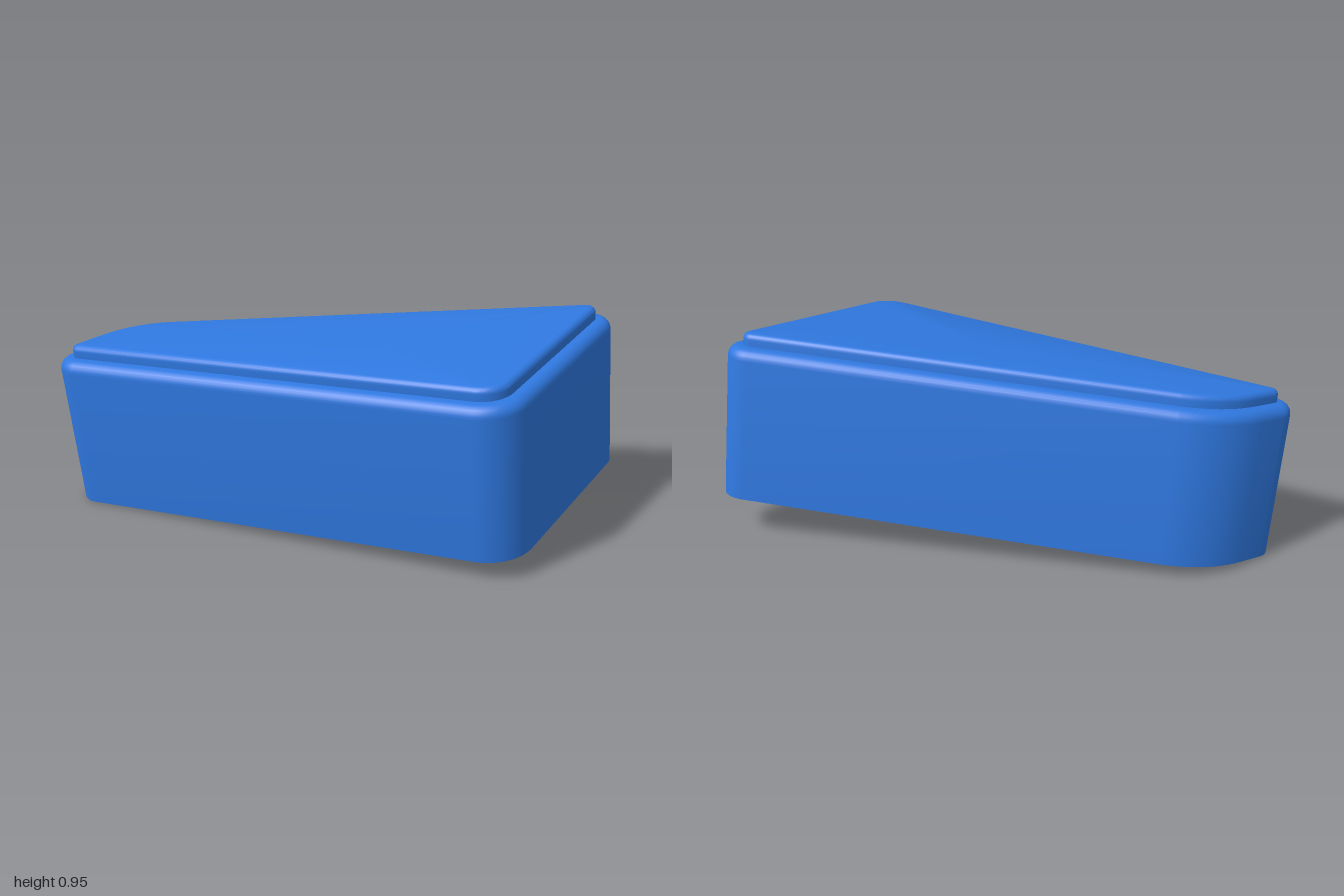
import * as THREE from 'three';
import { toCreasedNormals } from 'three/addons/utils/BufferGeometryUtils.js';

// Corner circles of the rounded plan outline: x, z, radius
const corners = [
  [0.767, -0.082, 0.2],   // right
  [-0.872, 0.839, 0.1],   // front left
  [-0.472, 0.71, 0.5],    // broad back left curve
  [0.61, -0.895, 0.11],   // back tip
];
const TILT = 0.1037;      // the whole block leans towards the front
const ARC_STEPS = 12;

// Direction of the outer tangent line's normal between two corner circles
function tangentAngle([x1, z1, r1], [x2, z2, r2]) {
  const dx = x2 - x1, dz = z2 - z1;
  return Math.atan2(dz, dx) - Math.acos((r1 - r2) / Math.hypot(dx, dz));
}

// Outline of the plan, moved inwards by inset
function outline(inset) {
  const points = [];
  const n = corners.length;
  corners.forEach((c, i) => {
    const start = tangentAngle(corners[(i + n - 1) % n], c);
    let end = tangentAngle(c, corners[(i + 1) % n]);
    while (end < start) end += Math.PI * 2;
    while (end - start > Math.PI * 2) end -= Math.PI * 2;
    for (let k = 0; k <= ARC_STEPS; k++) {
      const a = start + (end - start) * k / ARC_STEPS;
      points.push([c[0] + (c[2] - inset) * Math.cos(a), c[1] + (c[2] - inset) * Math.sin(a)]);
    }
  });
  return points;
}

// Closed slab with upright walls and a rounded upper edge
function slab(inset, bottom, top, bevel) {
  const rows = [[inset, bottom]];
  for (let k = 0; k <= 6; k++) {
    const a = k / 6 * Math.PI / 2;
    rows.push([inset + bevel * (1 - Math.cos(a)), top - bevel * (1 - Math.sin(a))]);
  }
  const positions = [], index = [];
  let n = 0;
  for (const [d, y] of rows) {
    const loop = outline(d);
    n = loop.length;
    for (const [x, z] of loop) positions.push(x, y, z);
  }
  const last = (rows.length - 1) * n, low = rows.length * n, high = low + 1;
  positions.push(0.1, bottom, 0, 0.1, top, 0);
  for (let i = 0; i < n; i++) {
    const j = (i + 1) % n;
    for (let r = 0; r < last; r += n) {
      index.push(r + i, r + n + i, r + j, r + j, r + n + i, r + n + j);
    }
    index.push(low, i, j, high, last + j, last + i);
  }
  const geometry = new THREE.BufferGeometry();
  geometry.setAttribute('position', new THREE.Float32BufferAttribute(positions, 3));
  geometry.setIndex(index);
  return toCreasedNormals(geometry, Math.PI / 6);
}

export function createModel() {
  const model = new THREE.Group();
  model.name = 'wedgeBlock';
  const material = new THREE.MeshStandardMaterial({ color: 0x2f78e0 });

  const tilted = new THREE.Group();
  tilted.name = 'tiltedBlock';
  tilted.rotation.x = TILT;
  tilted.position.y = 0.097;
  model.add(tilted);

  // Main block
  const body = new THREE.Mesh(slab(0, 0, 0.71, 0.05), material);
  body.name = 'body';

  // Raised plate on top
  const plate = new THREE.Mesh(slab(0.066, 0.69, 0.767, 0.028), material);
  plate.name = 'topPlate';

  tilted.add(body, plate);
  return model;
}
